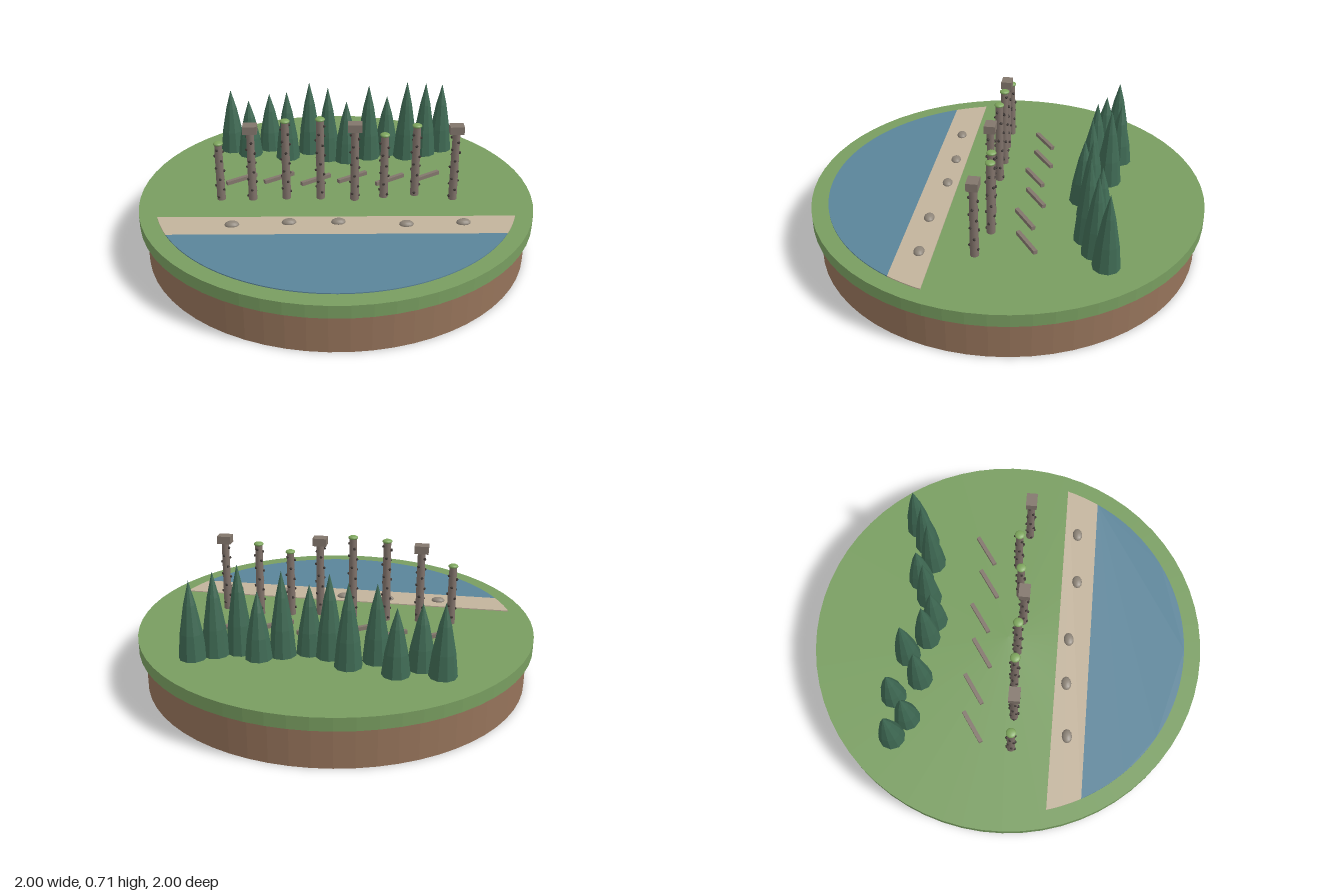
import * as THREE from 'three';

const mat = (name, color) => Object.assign(new THREE.MeshStandardMaterial({ color }), { name });

// faceted normals for low-poly parts
function facet(geometry) {
  const g = geometry.index ? geometry.toNonIndexed() : geometry;
  g.computeVertexNormals();
  return g;
}

export function createModel() {
  const root = new THREE.Group();
  root.name = 'islandDiorama';
  const M = {
    earth: mat('earth brown', 0x95735a),
    grass: mat('grass green', 0x789d60),
    water: mat('water blue', 0x5a8499),
    sand: mat('sand', 0xc2b39c),
    pine: mat('pine green', 0x3f6a54),
    wood: mat('weathered wood', 0x80726a),
    plank: mat('grey brown plank', 0x82766c),
    knob: mat('dark knob', 0x3c3532),
    moss: mat('moss green', 0x7da55c),
    stone: mat('stone', 0x8d8478),
  };
  const add = (name, geometry, material, x = 0, y = 0, z = 0, parent = root) => {
    const mesh = new THREE.Mesh(geometry, material);
    mesh.name = name;
    mesh.position.set(x, y, z);
    parent.add(mesh);
    return mesh;
  };

  const GROUND = 0.265;

  // round base
  add('earthBase', facet(new THREE.CylinderGeometry(0.97, 0.97, 0.2, 64)), M.earth, 0, 0.1, 0);
  add('grassDisc', facet(new THREE.CylinderGeometry(1, 1, 0.065, 64)), M.grass, 0, 0.2325, 0);

  // shore and lake: slices of a disc, turned 20 degrees
  const R = 0.915, shoreNear = 0.427, shoreFar = 0.26, turn = THREE.MathUtils.degToRad(20);
  const slice = (shape) => new THREE.ExtrudeGeometry(shape, { depth: 0.006, bevelEnabled: false, curveSegments: 32 })
    .rotateX(Math.PI / 2).rotateY(-turn);
  const a0 = Math.asin(shoreFar / R), a1 = Math.asin(shoreNear / R);
  const lake = new THREE.Shape();
  lake.absarc(0, 0, R, a1, Math.PI - a1, false);
  add('lake', slice(lake), M.water, 0, GROUND + 0.005, 0);
  const beach = new THREE.Shape();
  beach.absarc(0, 0, R, a0, a1, false);
  beach.absarc(0, 0, R, Math.PI - a1, Math.PI - a0, false);
  add('beach', slice(beach), M.sand, 0, GROUND + 0.005, 0);

  // beach stones
  const stoneGeo = new THREE.SphereGeometry(1, 12, 8).scale(0.036, 0.018, 0.026);
  [[-0.59, 0.145], [-0.325, 0.22], [-0.1, 0.3], [0.2, 0.435], [0.465, 0.517]].forEach(([x, z]) => {
    add('beachStone', stoneGeo, M.stone, x, GROUND + 0.007, z).rotation.y = -0.25;
  });

  // pine trees: x, z, top height
  const pineGeo = facet(new THREE.LatheGeometry(
    [[0, 0], [0.067, 0], [0.054, 0.33], [0.029, 0.7], [0, 1]].map(([x, y]) => new THREE.Vector2(x, y)), 10));
  [[-0.36, -0.7, 0.62], [-0.285, -0.605, 0.585], [-0.155, -0.645, 0.59], [-0.1, -0.495, 0.65],
    [0.04, -0.525, 0.675], [0.105, -0.405, 0.68], [0.19, -0.345, 0.61], [0.32, -0.345, 0.685],
    [0.435, -0.36, 0.6], [0.515, -0.275, 0.705], [0.63, -0.28, 0.68], [0.74, -0.3, 0.65],
  ].forEach(([x, z, top], i) => {
    const tree = add('pineTree', pineGeo, M.pine, x, GROUND, z);
    tree.scale.y = top - GROUND;
    tree.rotation.y = i * 0.7;
  });

  // fallen planks
  const plankGeo = new THREE.BoxGeometry(0.18, 0.02, 0.02);
  [[-0.42, -0.3], [-0.23, -0.245], [-0.055, -0.155], [0.135, -0.115], [0.31, -0.02], [0.5, 0.015]].forEach(([x, z]) => {
    add('fallenPlank', plankGeo, M.plank, x, GROUND + 0.01, z).rotation.y = 0.25;
  });

  // carved posts: x, z, top height, box cap or moss cap
  const knobGeo = facet(new THREE.IcosahedronGeometry(0.008, 0));
  const mossGeo = new THREE.SphereGeometry(1, 12, 8).scale(0.025, 0.011, 0.025);
  const boxGeo = new THREE.BoxGeometry(0.07, 0.04, 0.055);
  [[-0.57, -0.14, 0.585, false], [-0.42, -0.083, 0.675, true], [-0.255, -0.035, 0.7, false], [-0.093, 0.025, 0.71, false],
    [0.063, 0.1, 0.685, true], [0.213, 0.125, 0.62, false], [0.37, 0.16, 0.66, false], [0.533, 0.268, 0.67, true],
  ].forEach(([x, z, top, boxed], p) => {
    const post = new THREE.Group();
    post.name = 'carvedPost';
    post.position.set(x, GROUND, z);
    root.add(post);
    const total = top - GROUND, h = total - (boxed ? 0.04 : 0.011);
    add('postShaft', new THREE.CylinderGeometry(0.019, 0.022, h, 10), M.wood, 0, h / 2, 0, post);
    if (boxed) add('boxCap', boxGeo, M.plank, 0, total - 0.02, 0, post).rotation.y = -0.35;
    else add('mossCap', mossGeo, M.moss, 0, total - 0.011, 0, post);
    // knobs winding round the shaft
    const count = Math.floor(h / 0.02);
    for (let i = 1; i < count; i++) {
      const a = i * 2.4 + p, r = 0.0215;
      add('knob', knobGeo, M.knob, Math.cos(a) * r, i * 0.02, Math.sin(a) * r, post);
    }
  });

  return root;
}
